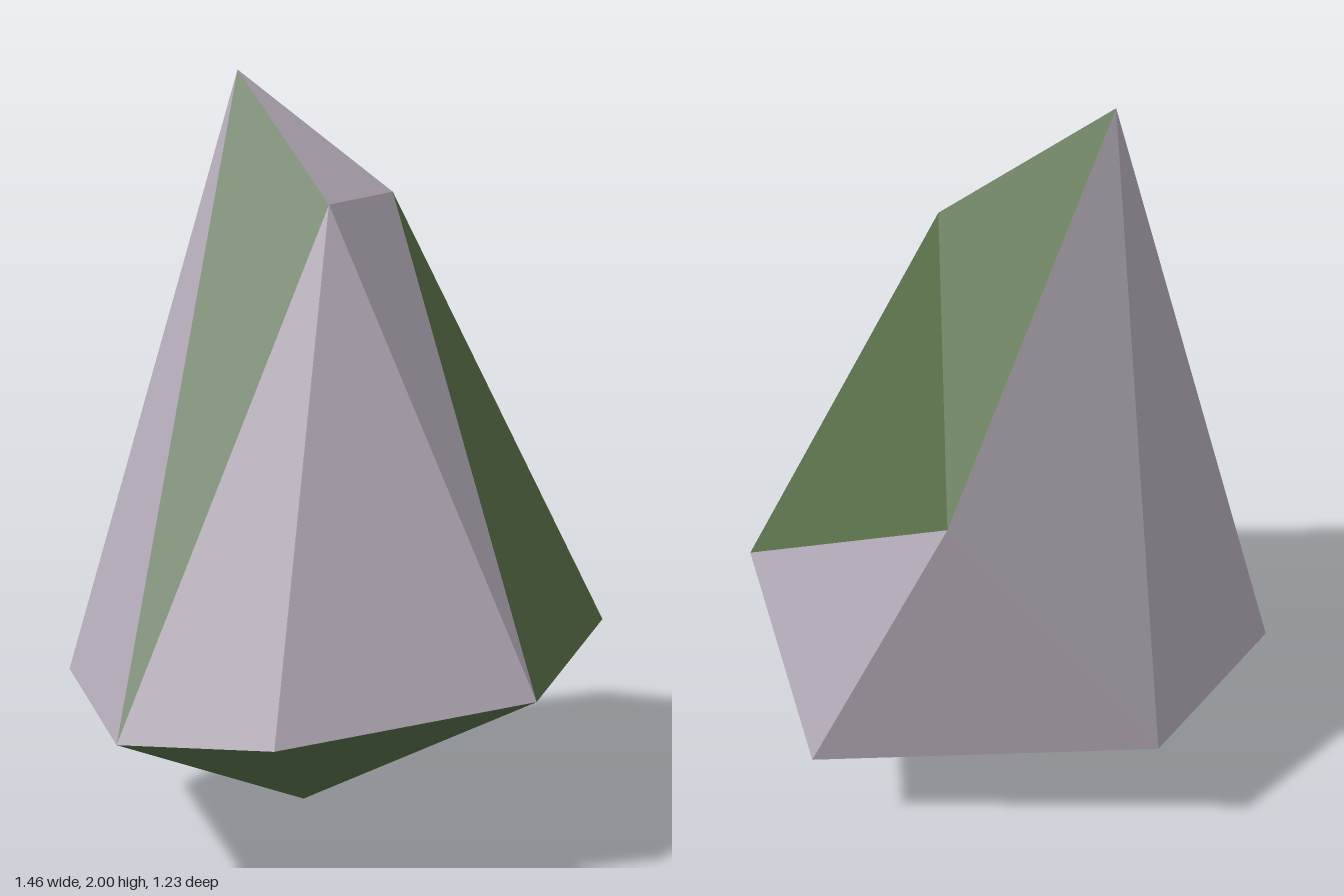
import * as THREE from 'three';

const material = (name, color) => {
  const m = new THREE.MeshStandardMaterial({ color });
  m.name = name;
  return m;
};

// Corners of the faceted rock
const P = {
  peak: [-0.25, 2.0, -0.21],
  frontShoulder: [-0.04, 1.65, 0.16],
  rightShoulder: [0.155, 1.68, -0.115],
  backShoulder: [0.1, 1.13, -0.615],
  base: [-0.09, 0, -0.095],
};

// Widest ring, counterclockwise seen from above, starting at -x
const ring = [
  [-0.73, 0.39, -0.12],
  [-0.58, 0.375, 0.46],
  [-0.21, 0.4, 0.61],
  [0.425, 0.475, 0.535],
  [0.73, 0.52, -0.015],
  [0.48, 0.29, -0.57],
  [-0.425, 0.38, -0.56],
];

// One mesh of separate flat triangles
function facets(name, triangles, mat) {
  const geometry = new THREE.BufferGeometry();
  geometry.setAttribute('position', new THREE.Float32BufferAttribute(triangles.flat(2), 3));
  geometry.computeVertexNormals();
  const mesh = new THREE.Mesh(geometry, mat);
  mesh.name = name;
  return mesh;
}

export function createModel() {
  const { peak, frontShoulder, rightShoulder, backShoulder, base } = P;
  const group = new THREE.Group();
  group.name = 'rock';

  const stone = material('stone', 0xb4abb8);
  const moss = material('moss', 0x587049);
  const earth = material('earth', 0x755450);

  // Bare stone sides
  group.add(facets('stoneFacets', [
    [peak, ring[0], ring[1]],
    [peak, frontShoulder, rightShoulder],
    [frontShoulder, ring[1], ring[2]],
    [frontShoulder, ring[2], ring[3]],
    [frontShoulder, ring[3], rightShoulder],
    [backShoulder, ring[4], ring[5]],
    [backShoulder, ring[5], ring[6]],
    [peak, backShoulder, ring[6]],
    [peak, ring[6], ring[0]],
  ], stone));

  // Mossy sides
  group.add(facets('mossFacets', [
    [peak, ring[1], frontShoulder],
    [peak, rightShoulder, backShoulder],
    [rightShoulder, ring[3], ring[4]],
    [rightShoulder, ring[4], backShoulder],
  ], moss));

  // Underside fan: mossy all round except one earthy facet at the back
  const underside = ring.map((p, i) => [base, ring[(i + 1) % ring.length], p]);
  group.add(facets('mossUnderside', underside.filter((_, i) => i !== 5), moss));
  group.add(facets('earthUnderside', [underside[5]], earth));

  return group;
}
